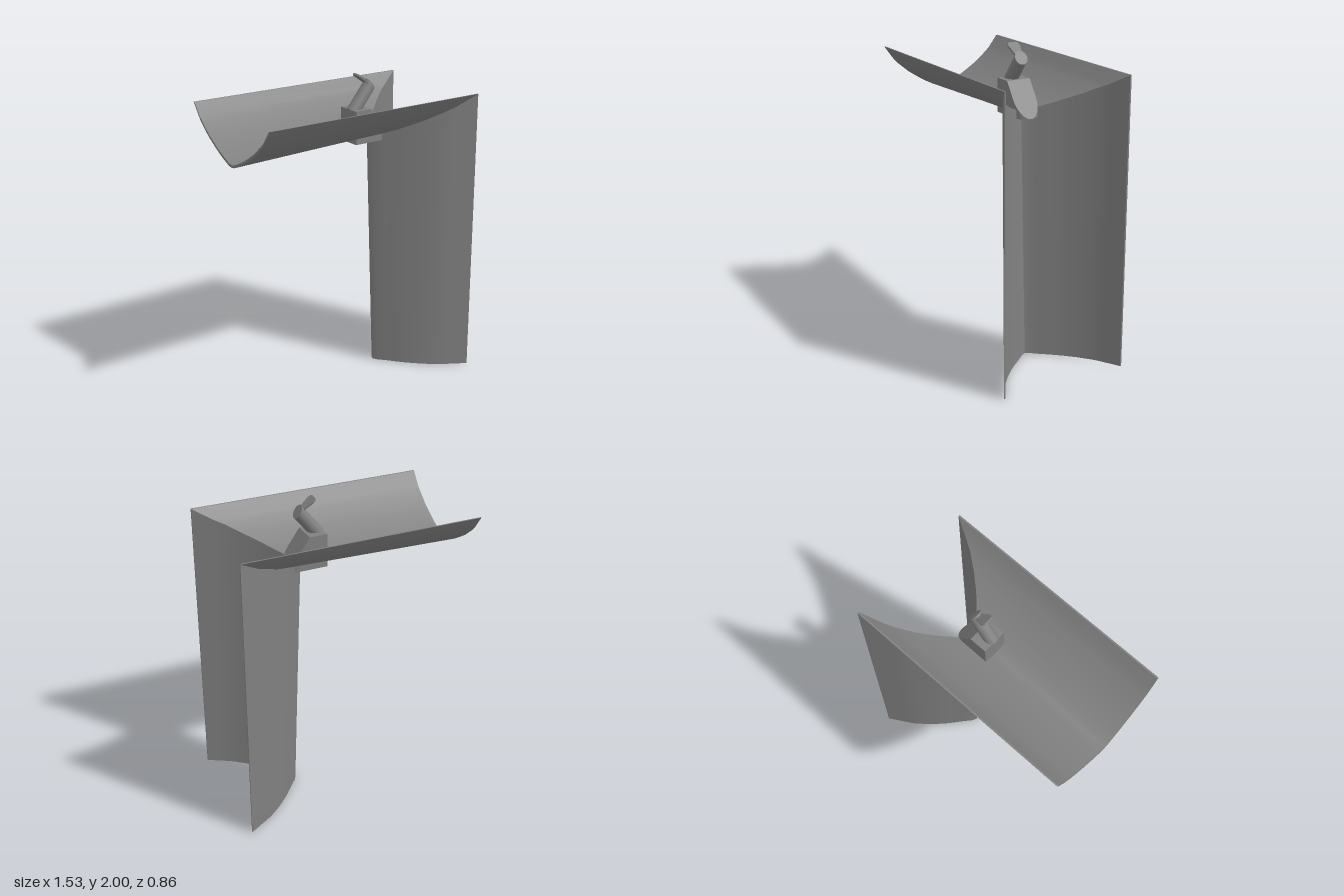
import * as THREE from 'three';
import { toCreasedNormals } from 'three/addons/utils/BufferGeometryUtils.js';

const grey = new THREE.MeshStandardMaterial({ color: 0x808080 });
grey.name = 'grey';

const RIM_X = 0.765, RIM_Y = 1.867, WALL = 0.015;

// Half of the mitred joint between the two shells, from centre to rim: z, x, y
const half = [
  [0, 0.228, 1.588], [0.03, 0.245, 1.593], [0.08, 0.295, 1.612], [0.14, 0.35, 1.638],
  [0.19, 0.4, 1.665], [0.26, 0.48, 1.705], [0.33, 0.575, 1.757], [0.36, 0.63, 1.782],
  [0.43, RIM_X, RIM_Y],
];
const joint = [...half.slice(1).reverse().map(([z, x, y]) => [-z, x, y]), ...half];

// Closed section loop at the joint: outer skin, then inner skin reversed
const outer = joint.map(([z, x, y]) => new THREE.Vector3(x, y, z));
const inner = outer.map((p, i) => {
  const rim = i === 0 || i === outer.length - 1;
  return new THREE.Vector3(
    Math.min(p.x + WALL, RIM_X), Math.min(p.y + WALL, RIM_Y),
    rim ? p.z - Math.sign(p.z) * 0.01 : p.z);
});
const jointLoop = [...outer, ...inner.reverse()];

// Straight loft from the first loop to the second, with one closed end
function loft(a, b, capFirst) {
  const n = a.length, pos = [], idx = [];
  [...a, ...b].forEach((p) => pos.push(p.x, p.y, p.z));
  const quad = (p, q, r, s) => idx.push(p, q, r, p, r, s);
  for (let i = 0; i < n; i++) {
    const j = (i + 1) % n;
    quad(i, j, n + j, n + i);
  }
  for (let i = 0; i < n / 2 - 1; i++) {
    const k = n - 1 - i;
    if (capFirst) quad(i, k, k - 1, i + 1);
    else quad(n + i, n + i + 1, n + k - 1, n + k);
  }
  const g = new THREE.BufferGeometry();
  g.setAttribute('position', new THREE.Float32BufferAttribute(pos, 3));
  g.setIndex(idx);
  return toCreasedNormals(g, 0.6);
}

function add(parent, name, geometry) {
  const mesh = new THREE.Mesh(geometry, grey);
  mesh.name = name;
  parent.add(mesh);
  return mesh;
}

export function createModel() {
  const model = new THREE.Group();
  model.name = 'spout';

  // Upright channel, shallower towards the foot
  const foot = jointLoop.map((p) => new THREE.Vector3(RIM_X - (RIM_X - p.x) * 0.885, 0, p.z));
  add(model, 'uprightChannel', loft(foot, jointLoop, true));

  // Horizontal trough, deeper towards its far end
  const end = jointLoop.map((p) => new THREE.Vector3(-0.77, RIM_Y - (RIM_Y - p.y) * 1.12, p.z));
  add(model, 'trough', loft(jointLoop, end, false));

  // Fitting on the trough floor: square block with a sloped, rounded nose
  const fitting = new THREE.Group();
  fitting.name = 'fitting';
  fitting.position.z = -0.006;
  model.add(fitting);

  const base = 1.567, top = 1.78, r = 0.08;
  add(fitting, 'block', new THREE.BoxGeometry(0.115, top - base, 2 * r))
    .position.set(0.1425, (top + base) / 2, 0);

  const plan = new THREE.Shape();
  plan.moveTo(0.2, -r);
  plan.lineTo(0.27, -r);
  plan.absarc(0.27, 0, r, -Math.PI / 2, Math.PI / 2, false);
  plan.lineTo(0.2, r);
  const nose = new THREE.ExtrudeGeometry(plan, { depth: 1, bevelEnabled: false, curveSegments: 12 });
  nose.rotateX(-Math.PI / 2);
  const np = nose.attributes.position;
  for (let i = 0; i < np.count; i++) {
    const slope = top - (top - base) * (np.getX(i) - 0.2) / 0.15;
    np.setY(i, np.getY(i) > 0.5 ? slope : base);
  }
  add(fitting, 'slopedNose', toCreasedNormals(nose, 0.6));

  // Leaning post with an obliquely cut top
  const post = new THREE.CylinderGeometry(0.042, 0.042, 0.21, 24);
  const pp = post.attributes.position;
  for (let i = 0; i < pp.count; i++) {
    if (pp.getY(i) > 0) pp.setY(i, pp.getY(i) - 0.34 * pp.getX(i));
  }
  const postMesh = add(fitting, 'post', toCreasedNormals(post, 0.6));
  const lean = Math.atan2(0.63, 0.78);
  postMesh.rotation.z = -lean;
  postMesh.position.set(0.241 - 0.63 * 0.105, 1.921 - 0.78 * 0.105, 0.006);

  // Flared lever plate rising from the post
  const blade = new THREE.Shape();
  blade.moveTo(0, -0.018);
  blade.lineTo(0, 0.018);
  blade.lineTo(0.1, 0.04);
  blade.quadraticCurveTo(0.128, 0.036, 0.128, 0.02);
  blade.lineTo(0.128, -0.02);
  blade.quadraticCurveTo(0.128, -0.036, 0.1, -0.04);
  const lever = new THREE.ExtrudeGeometry(blade, { depth: 0.012, bevelEnabled: false, curveSegments: 5 });
  lever.translate(0, 0, -0.006);
  lever.rotateX(-Math.PI / 2);
  const leverMesh = add(fitting, 'lever', lever);
  leverMesh.rotation.z = Math.PI - Math.atan2(0.61, 0.79);
  leverMesh.position.set(0.234, 1.917, 0.006);

  return model;
}
